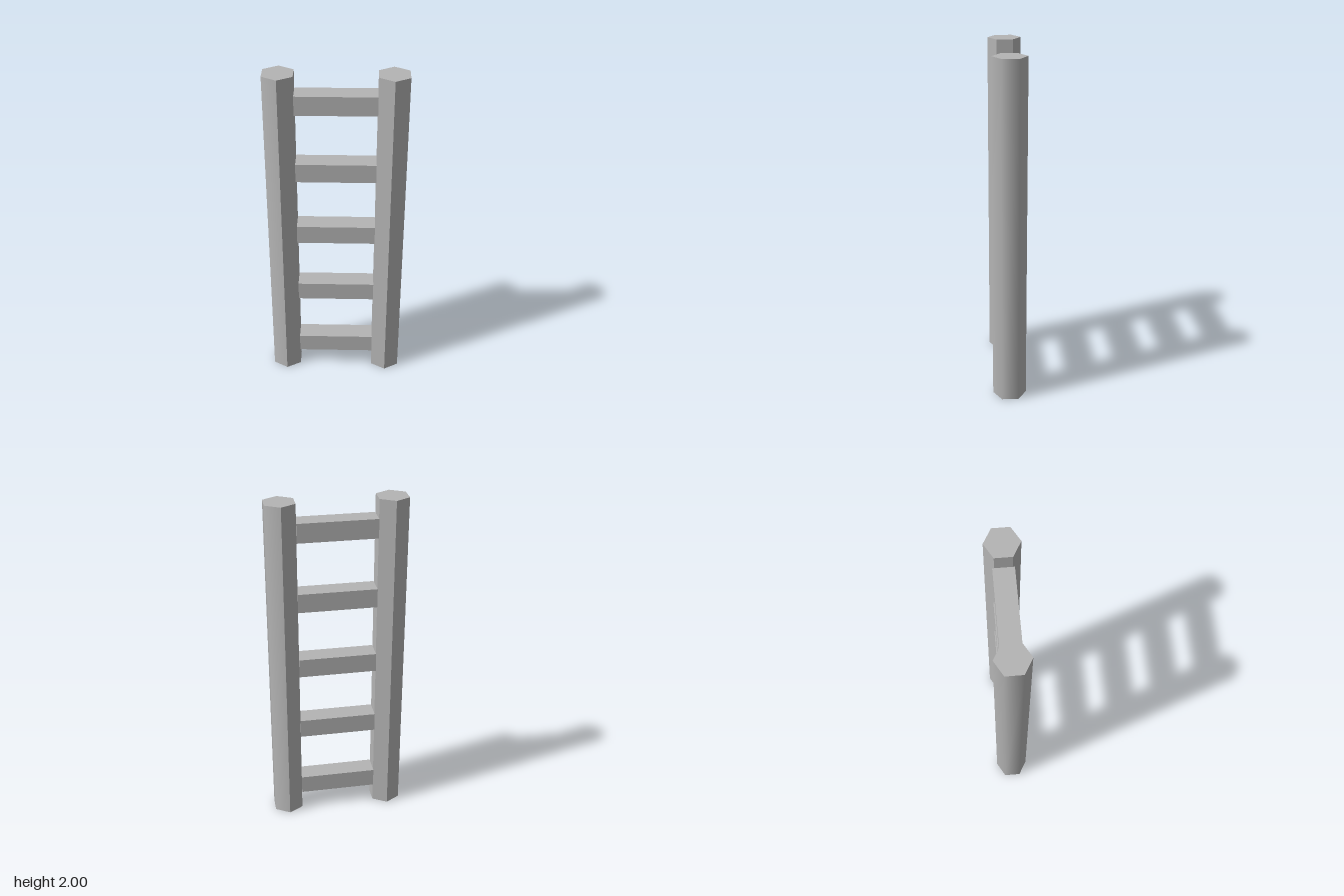
import * as THREE from 'three';

const HEIGHT = 2, RADIUS = 0.097, RAIL_X = 0.311;
const RUNG = { width: 0.454, height: 0.112, depth: 0.116, count: 5, first: 0.175, step: 0.415 };

// Softly rounded outer half of a hexagonal rail, facing +x
function outerHalf() {
  const geometry = new THREE.CylinderGeometry(RADIUS, RADIUS, HEIGHT, 3, 1, true, 0, Math.PI);
  const { position, normal } = geometry.attributes;
  for (let i = 0; i < position.count; i++) {
    const angle = Math.atan2(position.getX(i), position.getZ(i));
    // End normals follow their own face, so the front and back edges stay sharp
    const a = THREE.MathUtils.clamp(Math.abs(angle), Math.PI / 6, Math.PI * 5 / 6);
    normal.setXYZ(i, Math.sin(a), 0, Math.cos(a));
  }
  return geometry;
}

// Crisp, faceted inner half, facing -x
function innerHalf() {
  const geometry = new THREE.CylinderGeometry(RADIUS, RADIUS, HEIGHT, 3, 1, true, Math.PI, Math.PI).toNonIndexed();
  geometry.computeVertexNormals();
  return geometry;
}

export function createModel() {
  const grey = new THREE.MeshStandardMaterial({ color: 0xb4b4b4 });
  grey.name = 'grey';
  const model = new THREE.Group();
  model.name = 'ladder';

  const add = (parent, name, geometry, y = 0) => {
    const mesh = new THREE.Mesh(geometry, grey);
    mesh.name = name;
    mesh.position.y = y;
    parent.add(mesh);
    return mesh;
  };

  // Two hexagonal side rails, the right one turned half way round
  const outer = outerHalf(), inner = innerHalf();
  const cap = new THREE.CircleGeometry(RADIUS, 6, Math.PI / 2);
  for (const side of [1, -1]) {
    const rail = new THREE.Group();
    rail.name = side > 0 ? 'leftRail' : 'rightRail';
    rail.position.set(side * RAIL_X, HEIGHT / 2, 0);
    rail.rotation.y = side > 0 ? 0 : Math.PI;
    add(rail, 'railOuterSide', outer);
    add(rail, 'railInnerSide', inner);
    add(rail, 'railTop', cap, HEIGHT / 2).rotation.x = -Math.PI / 2;
    add(rail, 'railBottom', cap, -HEIGHT / 2).rotation.x = Math.PI / 2;
    model.add(rail);
  }

  // Evenly spaced rungs between the inner faces of the rails
  const rung = new THREE.BoxGeometry(RUNG.width, RUNG.height, RUNG.depth);
  for (let i = 0; i < RUNG.count; i++) add(model, 'rung' + (i + 1), rung, RUNG.first + i * RUNG.step);

  return model;
}
